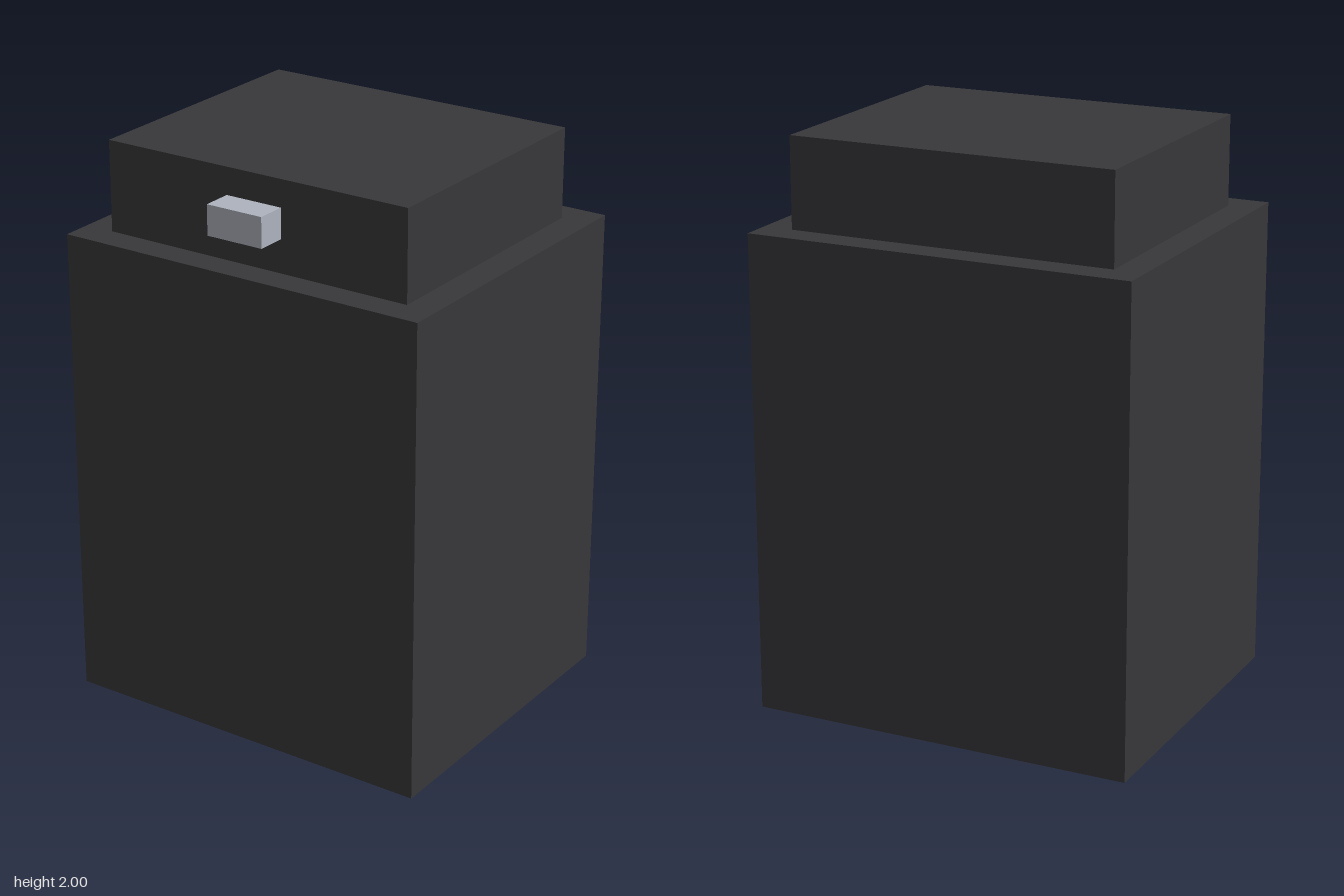
import * as THREE from 'three';

export function createModel() {
  const model = new THREE.Group();
  const dark = new THREE.MeshStandardMaterial({ color: 0x38383a });
  const metal = new THREE.MeshStandardMaterial({ color: 0xaeb3be });
  const grey = new THREE.MeshStandardMaterial({ color: 0x77787c });
  const brown = new THREE.MeshStandardMaterial({ color: 0x3a2a1a });

  // Box placed by its bottom height and centre depth
  function addBox(name, material, w, h, d, bottom, z = 0) {
    const mesh = new THREE.Mesh(new THREE.BoxGeometry(w, h, d), material);
    mesh.name = name;
    mesh.position.set(0, bottom + h / 2, z);
    model.add(mesh);
  }

  // Everything sits on a unit module: 19 modules tall
  const u = 2 / 19;
  addBox('body', dark, 13 * u, 16 * u - 0.002, 11 * u, 0.002);
  addBox('lid', dark, 11 * u, 3 * u, 9 * u, 16 * u);
  addBox('latch', metal, 2 * u, u, u, 17.1 * u, 5 * u);

  // Lighter panel set in the underside
  addBox('basePanel', grey, 10 * u, 0.01, 9 * u, 0.001);

  // Flat patch on the underside, outlined in x and z
  const outline = [[0.25, 0.2], [-0.04, 0.3], [-0.21, 0.26], [-0.31, 0.2], [-0.4, 0.05], [-0.38, -0.2]];
  const shape = new THREE.Shape(outline.map(([x, z]) => new THREE.Vector2(x, z)));
  const patch = new THREE.Mesh(new THREE.ShapeGeometry(shape), brown);
  patch.name = 'basePatch';
  patch.rotation.x = Math.PI / 2;
  model.add(patch);

  return model;
}
